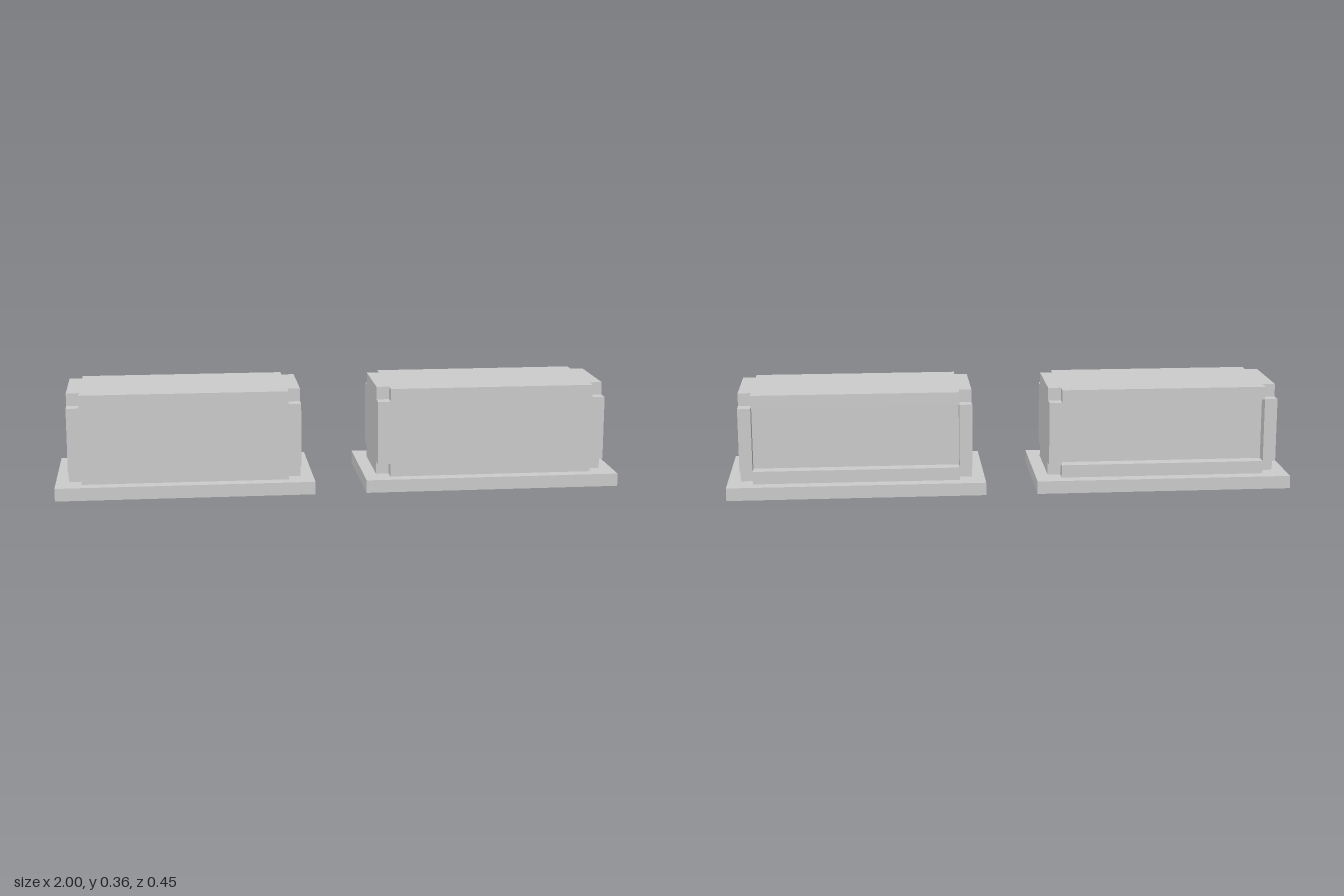
import * as THREE from 'three';

const U = 1 / 22; // module unit: plate thickness and corner notch size
const material = new THREE.MeshStandardMaterial({ color: 0xcccccc, flatShading: true });

function add(parent, name, geometry, x, y, z) {
  const mesh = new THREE.Mesh(geometry, material);
  mesh.name = name;
  mesh.position.set(x, y, z);
  parent.add(mesh);
}

// Rectangle with a square notch cut from every corner, centred on the origin
function notchedRectangle(w, h, n) {
  const a = w / 2, b = h / 2;
  return new THREE.Shape([
    [-a + n, -b], [a - n, -b], [a - n, -b + n], [a, -b + n],
    [a, b - n], [a - n, b - n], [a - n, b], [-a + n, b],
    [-a + n, b - n], [-a, b - n], [-a, -b + n], [-a + n, -b + n],
  ].map(([x, y]) => new THREE.Vector2(x, y)));
}

function createCrate() {
  const crate = new THREE.Group();
  const W = 18 * U, H = 7 * U, D = 8 * U;
  const midY = U + H / 2;

  add(crate, 'basePlate', new THREE.BoxGeometry(20 * U, U, 10 * U), 0, U / 2, 0);

  // Main block, whose back face is the floor of the rear recess
  add(crate, 'body', new THREE.BoxGeometry(W, H, D - 2 * U), 0, midY, 0);

  // Front layer with notched corners
  const front = new THREE.ExtrudeGeometry(notchedRectangle(W, H, U), { depth: U, bevelEnabled: false });
  add(crate, 'frontPanel', front, 0, midY, D / 2 - U);

  // Four rails framing the rear recess, leaving the corners open
  const backZ = -D / 2 + U / 2;
  for (const s of [-1, 1]) {
    add(crate, s > 0 ? 'backTopRail' : 'backBottomRail',
      new THREE.BoxGeometry(W - 2 * U, U, U), 0, midY + s * (H - U) / 2, backZ);
    add(crate, s > 0 ? 'backLeftRail' : 'backRightRail',
      new THREE.BoxGeometry(U, H - 2 * U, U), s * (W - U) / 2, midY, backZ);
  }
  return crate;
}

export function createModel() {
  const model = new THREE.Group();
  model.name = 'cratePair';
  for (const s of [-1, 1]) {
    const crate = createCrate();
    crate.name = s > 0 ? 'leftCrate' : 'rightCrate';
    crate.position.x = s * 12 * U;
    model.add(crate);
  }
  return model;
}
